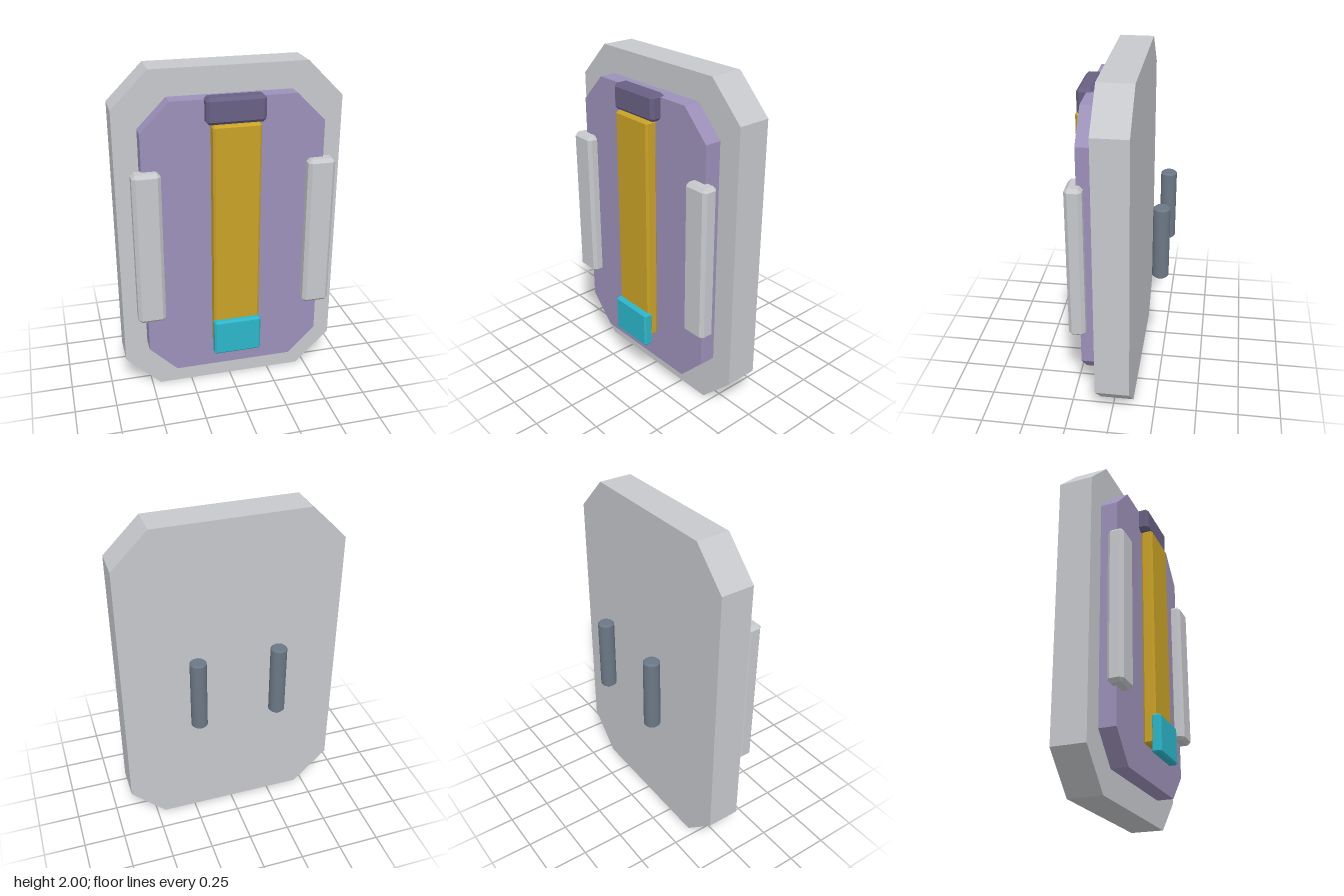
import * as THREE from 'three';
import { ConvexGeometry } from 'three/addons/geometries/ConvexGeometry.js';
import { toCreasedNormals } from 'three/addons/utils/BufferGeometryUtils.js';

const material = (name, color, flatShading = true) => {
  const m = new THREE.MeshStandardMaterial({ color, flatShading });
  m.name = name;
  return m;
};

// Box with single-facet chamfers on every edge, given by its min and max corners
function chamferBox(min, max, c) {
  const half = min.map((v, i) => (max[i] - v) / 2);
  const points = [];
  for (const sx of [-1, 1]) for (const sy of [-1, 1]) for (const sz of [-1, 1]) {
    const s = [sx, sy, sz];
    for (let axis = 0; axis < 3; axis++) {
      points.push(new THREE.Vector3(...half.map((h, i) => s[i] * (i === axis ? h : h - c))));
    }
  }
  const geometry = new ConvexGeometry(points);
  geometry.translate(...min.map((v, i) => (v + max[i]) / 2));
  return geometry;
}

// Upright slab with cut corners: half width, y range, corner cuts, z range
function cutCornerSlab(w, y0, y1, cutX, cutY, z0, z1) {
  const shape = new THREE.Shape([
    [-w + cutX, y0], [w - cutX, y0], [w, y0 + cutY], [w, y1 - cutY],
    [w - cutX, y1], [-w + cutX, y1], [-w, y1 - cutY], [-w, y0 + cutY],
  ].map(([x, y]) => new THREE.Vector2(x, y)));
  const geometry = new THREE.ExtrudeGeometry(shape, { depth: z1 - z0, bevelEnabled: false });
  geometry.translate(0, 0, z0);
  return geometry;
}

export function createModel() {
  const group = new THREE.Group();
  group.name = 'panel';
  const silver = material('silver', 0xc6c8cc);
  const lilac = material('lilac', 0x9c90b9);
  const plum = material('plum', 0x686083);
  const gold = material('gold', 0xc9a227);
  const cyan = material('cyan', 0x2bb6c9);
  const slate = material('slate', 0x6c7886, false);

  const add = (name, geometry, mat) => {
    const mesh = new THREE.Mesh(geometry, mat);
    mesh.name = name;
    group.add(mesh);
    return mesh;
  };

  // Stacked plates
  add('backPlate', cutCornerSlab(0.66, 0, 2, 0.21, 0.21, -0.115, 0.085), silver);
  add('frontPlate', cutCornerSlab(0.523, 0.158, 1.847, 0.165, 0.167, 0.085, 0.185), lilac);

  // Centre strip with its cap and end block
  add('centreStrip', chamferBox([-0.137, 0.345, 0.183], [0.137, 1.715, 0.257], 0.012), gold);
  add('topCap', chamferBox([-0.168, 1.714, 0.147], [0.168, 1.864, 0.243], 0.018), plum);
  add('bottomBlock', chamferBox([-0.142, 0.29, 0.231], [0.142, 0.513, 0.288], 0.011), cyan);

  // Chamfered grip behind the plate
  const r = 0.048, h = 0.224, b = 0.009;
  const profile = [[0, -h], [r - b, -h], [r, -h + b], [r, h - b], [r - b, h], [0, h]]
    .map(([x, y]) => new THREE.Vector2(x, y));
  const gripGeometry = toCreasedNormals(new THREE.LatheGeometry(profile, 20), 0.5);

  // Mirrored side rails and rear grips
  for (const [side, s] of [['left', 1], ['right', -1]]) {
    const x = s * 0.503;
    add(side + 'Rail', chamferBox([x - 0.081, 0.542, 0.147], [x + 0.081, 1.466, 0.243], 0.02), silver);
    add(side + 'RearGrip', gripGeometry, slate).position.set(s * 0.24, 1.002, -0.243);
  }
  return group;
}
